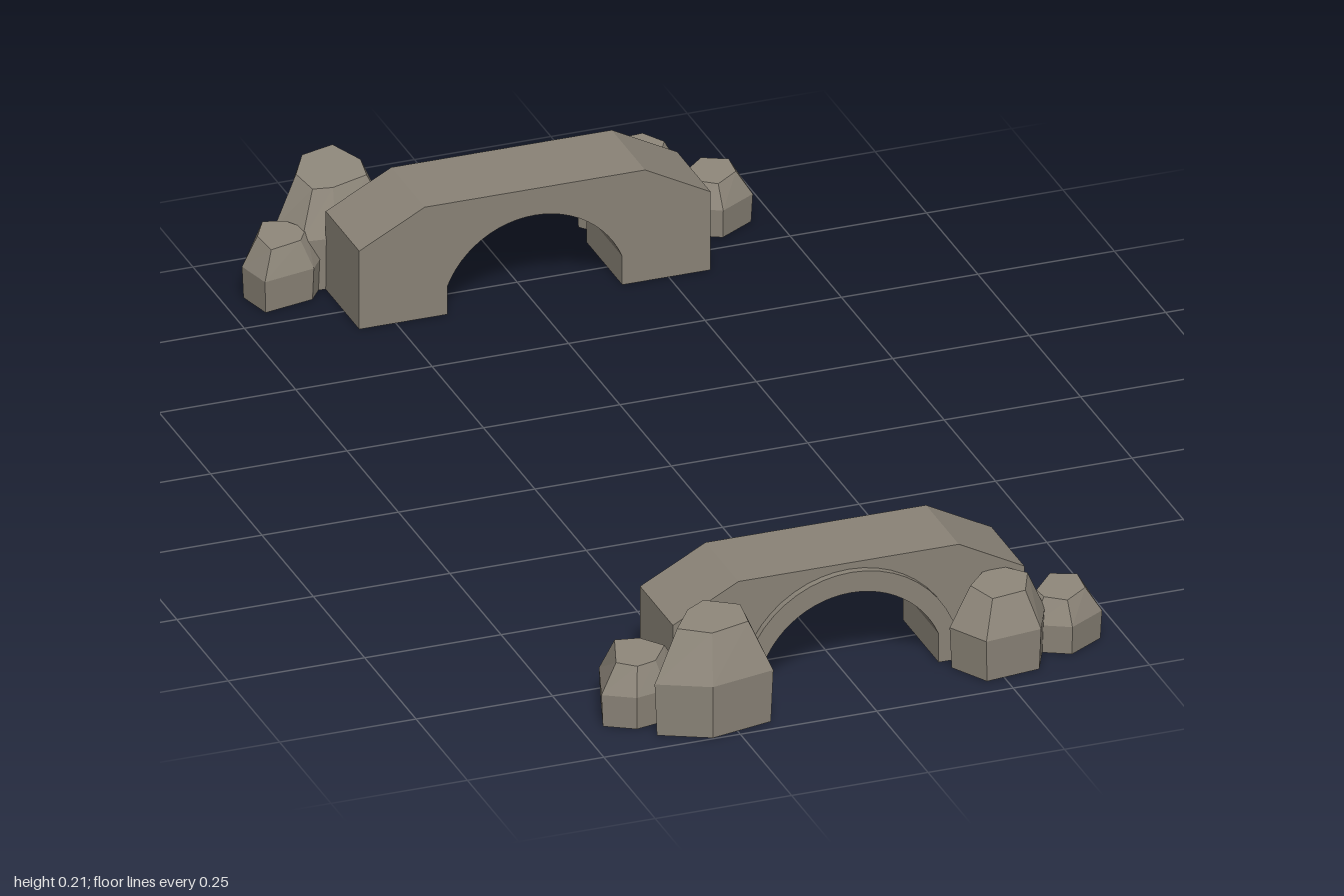
import * as THREE from 'three';

const stone = new THREE.MeshStandardMaterial({ color: 0x8a8377 });
stone.name = 'stone';
const CX = 0.005; // arch centre line

function mesh(name, geometry) {
  geometry = geometry.index ? geometry.toNonIndexed() : geometry;
  geometry.computeVertexNormals();
  const m = new THREE.Mesh(geometry, stone);
  m.name = name;
  return m;
}

// Points along the opening, from its right side over the top to its left side
function arc(radius, cy, clipX, steps = 24) {
  const a0 = Math.acos(clipX / radius);
  const pts = [];
  for (let i = 0; i <= steps; i++) {
    const a = a0 + (Math.PI - 2 * a0) * i / steps;
    pts.push(new THREE.Vector2(CX + radius * Math.cos(a), cy + radius * Math.sin(a)));
  }
  return pts;
}

function extrude(name, points, z0, z1) {
  const g = new THREE.ExtrudeGeometry(new THREE.Shape(points), { depth: z1 - z0, bevelEnabled: false });
  return mesh(name, g.translate(0, 0, z0));
}

// Chamfered portal with an arched opening, plus a thin raised rim on its outer face
function portal(name, z0, z1, rimOut) {
  const group = new THREE.Group();
  group.name = name;
  const v = (x, y) => new THREE.Vector2(CX + x, y);
  const inner = arc(0.173, -0.011, 0.16);
  const opening = [v(0.16, 0), ...inner, v(-0.16, 0)];
  group.add(extrude('portalWall', [
    ...opening, v(-0.322, 0), v(-0.322, 0.15), v(-0.202, 0.213),
    v(0.202, 0.213), v(0.322, 0.15), v(0.322, 0),
  ], z0, z1));
  const outer = arc(0.201, 0, 0.201).reverse();
  group.add(extrude('archRim', [...opening, ...outer],
    Math.min(rimOut, z1 - 0.002), Math.max(rimOut, z0 + 0.002)));
  return group;
}

// Faceted boulder: plan outline raised through a wide waist to a tilted top facet
function boulder(name, height, plan, shift = [0, 0], slope = -0.2) {
  const n = plan.length;
  const cx = plan.reduce((s, p) => s + p[0], 0) / n;
  const cz = plan.reduce((s, p) => s + p[1], 0) / n;
  // y fraction, plan scale, share of shift
  const rings = [[0, 0.96, 0], [0.5, 1, 0], [0.95, 0.6, 1]].map(([f, s, k], r) =>
    plan.map(([x, z]) => {
      const dz = (z - cz) * s;
      return [cx + (x - cx) * s + shift[0] * k, f * height + (r === 2 ? dz * slope : 0), cz + dz + shift[1] * k];
    }));
  const pos = [];
  const tri = (...c) => c.forEach((p) => pos.push(...p));
  const foot = [cx, 0, cz];
  const crown = [cx + shift[0], 0.95 * height, cz + shift[1]];
  for (let i = 0; i < n; i++) {
    const j = (i + 1) % n;
    for (let r = 0; r < 2; r++) {
      const lo = rings[r], hi = rings[r + 1];
      tri(lo[j], lo[i], hi[i]);
      tri(lo[j], hi[i], hi[j]);
    }
    tri(crown, rings[2][j], rings[2][i]);
    tri(foot, rings[0][i], rings[0][j]);
  }
  const g = new THREE.BufferGeometry();
  g.setAttribute('position', new THREE.Float32BufferAttribute(pos, 3));
  return mesh(name, g);
}

export function createModel() {
  const model = new THREE.Group();
  model.name = 'tunnelPortals';

  model.add(
    portal('frontPortal', 0.69, 0.85, 0.863),
    portal('backPortal', -0.84, -0.677, -0.852),
  );

  // Boulders beside the front portal
  model.add(
    boulder('frontRightLargeBoulder', 0.198,
      [[-0.39, 0.955], [-0.33, 0.88], [-0.27, 0.85], [-0.175, 0.895], [-0.18, 0.975], [-0.30, 1.0]], [0.005, -0.015]),
    boulder('frontRightSmallBoulder', 0.122,
      [[-0.463, 0.89], [-0.43, 0.79], [-0.357, 0.80], [-0.30, 0.85], [-0.35, 0.91], [-0.41, 0.922]]),
    boulder('frontLeftLargeBoulder', 0.155,
      [[0.175, 0.89], [0.23, 0.84], [0.295, 0.83], [0.355, 0.875], [0.32, 0.95], [0.215, 0.963]], [0.005, -0.008]),
    boulder('frontLeftSmallBoulder', 0.106,
      [[0.32, 0.85], [0.385, 0.787], [0.46, 0.81], [0.46, 0.875], [0.39, 0.917], [0.33, 0.885]]),
  );

  // Boulders beside the back portal
  model.add(
    boulder('backRightLargeBoulder', 0.195,
      [[-0.385, -0.91], [-0.34, -0.98], [-0.24, -1.0], [-0.182, -0.925], [-0.187, -0.862], [-0.30, -0.835], [-0.36, -0.842]],
      [0.005, -0.015], -0.3),
    boulder('backRightSmallBoulder', 0.12,
      [[-0.463, -0.86], [-0.425, -0.92], [-0.36, -0.905], [-0.315, -0.857], [-0.35, -0.81], [-0.447, -0.79]]),
    boulder('backLeftLargeBoulder', 0.15,
      [[0.168, -0.91], [0.24, -0.947], [0.315, -0.952], [0.362, -0.90], [0.335, -0.857], [0.265, -0.836], [0.205, -0.862]]),
    boulder('backLeftSmallBoulder', 0.105,
      [[0.32, -0.862], [0.385, -0.91], [0.46, -0.884], [0.46, -0.825], [0.39, -0.783], [0.33, -0.815]]),
  );
  return model;
}
